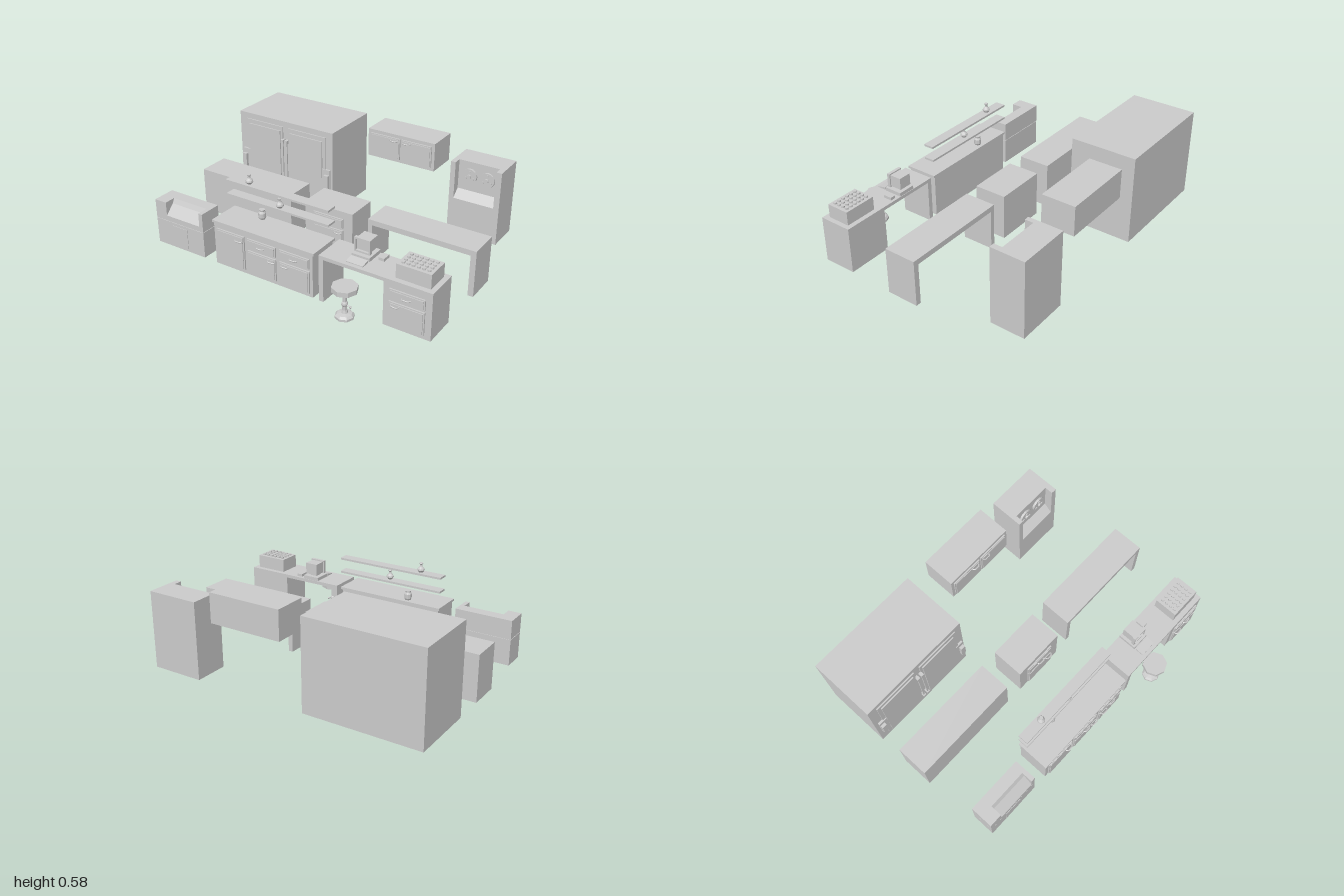
import * as THREE from 'three';

const mat = new THREE.MeshStandardMaterial({ color: 0xcccccc, flatShading: true });

function add(parent, name, geo, x = 0, y = 0, z = 0) {
  const m = new THREE.Mesh(geo, mat);
  m.name = name;
  m.position.set(x, y, z);
  parent.add(m);
  return m;
}

// Box given by its extents
function box(parent, name, x0, x1, y0, y1, z0, z1) {
  return add(parent, name, new THREE.BoxGeometry(x1 - x0, y1 - y0, z1 - z0),
    (x0 + x1) / 2, (y0 + y1) / 2, (z0 + z1) / 2);
}

// Side profile of [z, y] points extruded along x
function sideExtrude(parent, name, pts, x0, x1) {
  const shape = new THREE.Shape(pts.map(([z, y]) => new THREE.Vector2(-z, y)));
  const geo = new THREE.ExtrudeGeometry(shape, { depth: x1 - x0, bevelEnabled: false });
  geo.rotateY(Math.PI / 2);
  return add(parent, name, geo, x0, 0, 0);
}

function lathe(parent, name, pts, sides, x, y, z) {
  const geo = new THREE.LatheGeometry(pts.map(([r, h]) => new THREE.Vector2(r, h)), sides);
  return add(parent, name, geo, x, y, z);
}

function group(parent, name) {
  const g = new THREE.Group();
  g.name = name;
  parent.add(g);
  return g;
}

// Bowed bar handle standing on a front face
function handle(parent, x, y, z) {
  const path = new THREE.CatmullRomCurve3([[-0.025, 0], [-0.017, 0.013], [0.017, 0.013], [0.025, 0]]
    .map(([a, b]) => new THREE.Vector3(a, 0, b)), false, 'catmullrom', 0.2);
  add(parent, 'handle', new THREE.TubeGeometry(path, 8, 0.0045, 5), x, y, z);
}

// Overlay door or drawer front with a raised centre panel
function front(parent, name, x0, x1, y0, y1, z, hx, hy) {
  box(parent, name, x0, x1, y0, y1, z - 0.002, z + 0.009);
  box(parent, name + 'Panel', x0 + 0.008, x1 - 0.008, y0 + 0.008, y1 - 0.008, z, z + 0.014);
  handle(parent, hx, hy, z + 0.013);
}

// Drawer above a door
function column(parent, x0, x1, z, doorHandle) {
  front(parent, 'drawer', x0, x1, 0.185, 0.25, z, (x0 + x1) / 2, 0.217);
  front(parent, 'door', x0, x1, 0.025, 0.17, z, doorHandle, 0.152);
}

function buildFridge(root) {
  const g = group(root, 'coldStore');
  box(g, 'body', -1, -0.24, 0, 0.585, -0.745, -0.31);
  for (const s of [-1, 1]) {
    const cx = -0.615, at = (a, b) => [Math.min(cx + s * a, cx + s * b), Math.max(cx + s * a, cx + s * b)];
    box(g, 'door', ...at(0.022, 0.325), 0.045, 0.545, -0.312, -0.302);
    box(g, 'doorPanel', ...at(0.04, 0.3), 0.07, 0.515, -0.304, -0.294);
    box(g, 'handleBar', ...at(0.011, 0.021), 0.12, 0.46, -0.296, -0.287);
    for (const y of [0.11, 0.435]) box(g, 'handleBracket', ...at(0.006, 0.026), y, y + 0.025, -0.312, -0.28);
    box(g, 'hingePlate', ...at(0.275, 0.36), 0.15, 0.32, -0.312, -0.296);
    box(g, 'hingeBlock', ...at(0.325, 0.358), 0.185, 0.285, -0.3, -0.276);
  }
}

function buildWallCabinet(root) {
  const g = group(root, 'wallCabinet');
  box(g, 'body', -0.092, 0.397, 0.395, 0.585, -0.74, -0.523);
  front(g, 'door', -0.072, 0.148, 0.415, 0.562, -0.523, 0.105, 0.543);
  front(g, 'door', 0.16, 0.377, 0.415, 0.562, -0.523, 0.2, 0.543);
}

// Tall cabinet with an open-topped recess holding two dials
function buildDialCabinet(root) {
  const g = group(root, 'dialCabinet');
  box(g, 'leftSide', 0.515, 0.548, 0, 0.5, -0.745, -0.52);
  box(g, 'rightSide', 0.823, 0.86, 0, 0.5, -0.745, -0.52);
  sideExtrude(g, 'core', [[-0.745, 0], [-0.52, 0], [-0.52, 0.25], [-0.575, 0.3],
    [-0.575, 0.5], [-0.745, 0.5]], 0.548, 0.823);
  for (const x of [0.628, 0.748]) {
    add(g, 'dial', new THREE.CylinderGeometry(0.05, 0.05, 0.016, 16).rotateX(Math.PI / 2), x, 0.405, -0.569);
    add(g, 'dialHub', new THREE.CylinderGeometry(0.014, 0.014, 0.014, 8).rotateX(Math.PI / 2), x, 0.405, -0.556);
    for (let i = 0; i < 3; i++) {
      const a = Math.PI / 2 + i * Math.PI * 2 / 3;
      add(g, 'dialStud', new THREE.CylinderGeometry(0.01, 0.01, 0.006, 8).rotateX(Math.PI / 2),
        x + 0.03 * Math.cos(a), 0.405 + 0.03 * Math.sin(a), -0.559);
    }
  }
}

function buildMiddleRow(root) {
  const g = group(root, 'middleRow');
  box(g, 'counterBlock', -1, -0.282, 0, 0.3, -0.105, 0.105);
  box(g, 'cabinetBody', -0.167, 0.18, 0, 0.3, -0.105, 0.108);
  column(g, -0.1, 0.115, 0.108, 0.083);
  sideTable(g, 'table', 0.285, 0.995, -0.108, 0.1, 0.265);
  box(g, 'tableRightLeg', 0.96, 0.995, 0, 0.265, -0.108, 0.1);
}

// Table slab with its left leg
function sideTable(g, name, x0, x1, z0, z1, under) {
  box(g, name + 'Top', x0, x1, under, 0.3, z0, z1);
  box(g, name + 'LeftLeg', x0, x0 + 0.03, 0, under, z0, z1);
}

// Low machine with a sloped pocket in its upper front edge
function buildMachine(root) {
  const g = group(root, 'floorMachine');
  const [x0, x1, z0, z1] = [-0.962, -0.582, 0.455, 0.605];
  box(g, 'lowerBody', x0, x1, 0, 0.172, z0, z1);
  box(g, 'seam', x0 + 0.004, x1 - 0.004, 0.172, 0.176, z0 + 0.004, z1 - 0.004);
  box(g, 'upperLeft', x0, -0.875, 0.176, 0.3, z0, z1);
  box(g, 'upperRight', -0.61, x1, 0.176, 0.3, z0, z1);
  sideExtrude(g, 'pocket', [[z0, 0.176], [z1, 0.176], [z1, 0.21], [0.545, 0.27],
    [0.53, 0.3], [z0, 0.3]], -0.875, -0.61);
  box(g, 'hatch', -0.835, -0.713, 0.02, 0.152, z1 - 0.002, z1 + 0.003);
}

function buildMainCounter(root) {
  const g = group(root, 'mainCounter');
  box(g, 'body', -0.485, 0.23, 0, 0.283, 0.403, 0.607);
  box(g, 'worktop', -0.495, 0.243, 0.283, 0.298, 0.397, 0.614);
  front(g, 'door', -0.46, -0.255, 0.025, 0.25, 0.607, -0.29, 0.217);
  column(g, -0.232, -0.026, 0.607, -0.052);
  column(g, 0.002, 0.21, 0.607, 0.045);
  for (const y of [0.4, 0.492]) box(g, 'shelf', -0.495, 0.243, y, y + 0.013, 0.397, 0.465);

  // Glassware
  const flask = [[0, 0], [0.014, 0], [0.024, 0.014], [0.022, 0.024], [0.009, 0.038],
    [0.008, 0.05], [0.013, 0.058], [0.011, 0.062], [0, 0.062]];
  lathe(g, 'flask', flask, 12, -0.34, 0.505, 0.432);
  lathe(g, 'flask', flask, 12, -0.113, 0.413, 0.44);
  lathe(g, 'jar', [[0, 0], [0.018, 0], [0.024, 0.012], [0.024, 0.04], [0.017, 0.052],
    [0.019, 0.062], [0, 0.062]], 12, -0.25, 0.298, 0.438);
}

function buildDesk(root) {
  const g = group(root, 'desk');
  sideTable(g, 'desk', 0.273, 0.987, 0.397, 0.61, 0.278);
  box(g, 'pedestal', 0.692, 0.987, 0, 0.278, 0.397, 0.61);
  column(g, 0.73, 0.948, 0.61, 0.772);

  // Computer
  box(g, 'computerBase', 0.433, 0.549, 0.3, 0.323, 0.4, 0.52);
  box(g, 'monitorStand', 0.465, 0.515, 0.323, 0.333, 0.43, 0.48);
  box(g, 'monitorBack', 0.448, 0.534, 0.337, 0.413, 0.408, 0.49);
  for (const [a, b, c, d] of [[0.44, 0.542, 0.331, 0.342], [0.44, 0.542, 0.41, 0.421],
    [0.44, 0.45, 0.342, 0.41], [0.532, 0.542, 0.342, 0.41]]) box(g, 'screenFrame', a, b, c, d, 0.485, 0.505);
  sideExtrude(g, 'keyboard', [[0.53, 0.3], [0.585, 0.3], [0.585, 0.305], [0.53, 0.316]], 0.437, 0.546);
  box(g, 'mouse', 0.578, 0.614, 0.3, 0.318, 0.415, 0.472);

  // Tube rack
  box(g, 'rack', 0.745, 0.957, 0.3, 0.388, 0.428, 0.577);
  for (let i = 0; i < 6; i++) for (let j = 0; j < 4; j++) {
    add(g, 'tube', new THREE.CylinderGeometry(0.011, 0.011, 0.012, 8), 0.773 + i * 0.031, 0.393, 0.456 + j * 0.031);
  }
}

function buildStool(root) {
  const g = group(root, 'stool');
  g.position.set(0.482, 0, 0.665);
  lathe(g, 'base', [[0, 0], [0.057, 0], [0.057, 0.014], [0.045, 0.026], [0.02, 0.03], [0.014, 0.05], [0, 0.05]], 8);
  add(g, 'lowerPost', new THREE.CylinderGeometry(0.014, 0.014, 0.06, 8), 0, 0.06, 0);
  add(g, 'collar', new THREE.SphereGeometry(0.02, 8, 6), 0, 0.087, 0);
  add(g, 'upperPost', new THREE.CylinderGeometry(0.012, 0.012, 0.09, 8), 0, 0.13, 0);
  add(g, 'seatMount', new THREE.CylinderGeometry(0.03, 0.015, 0.02, 8), 0, 0.162, 0);
  add(g, 'seat', new THREE.CylinderGeometry(0.077, 0.077, 0.03, 8), 0, 0.188, 0);
  const lever = add(g, 'lever', new THREE.CylinderGeometry(0.004, 0.004, 0.035, 6), 0.025, 0.08, 0);
  lever.rotation.z = Math.PI / 2.6;
  add(g, 'leverKnob', new THREE.SphereGeometry(0.008, 6, 5), 0.038, 0.075, 0);
}

export function createModel() {
  const root = new THREE.Group();
  root.name = 'laboratoryFurniture';
  buildFridge(root);
  buildWallCabinet(root);
  buildDialCabinet(root);
  buildMiddleRow(root);
  buildMachine(root);
  buildMainCounter(root);
  buildDesk(root);
  buildStool(root);
  return root;
}
